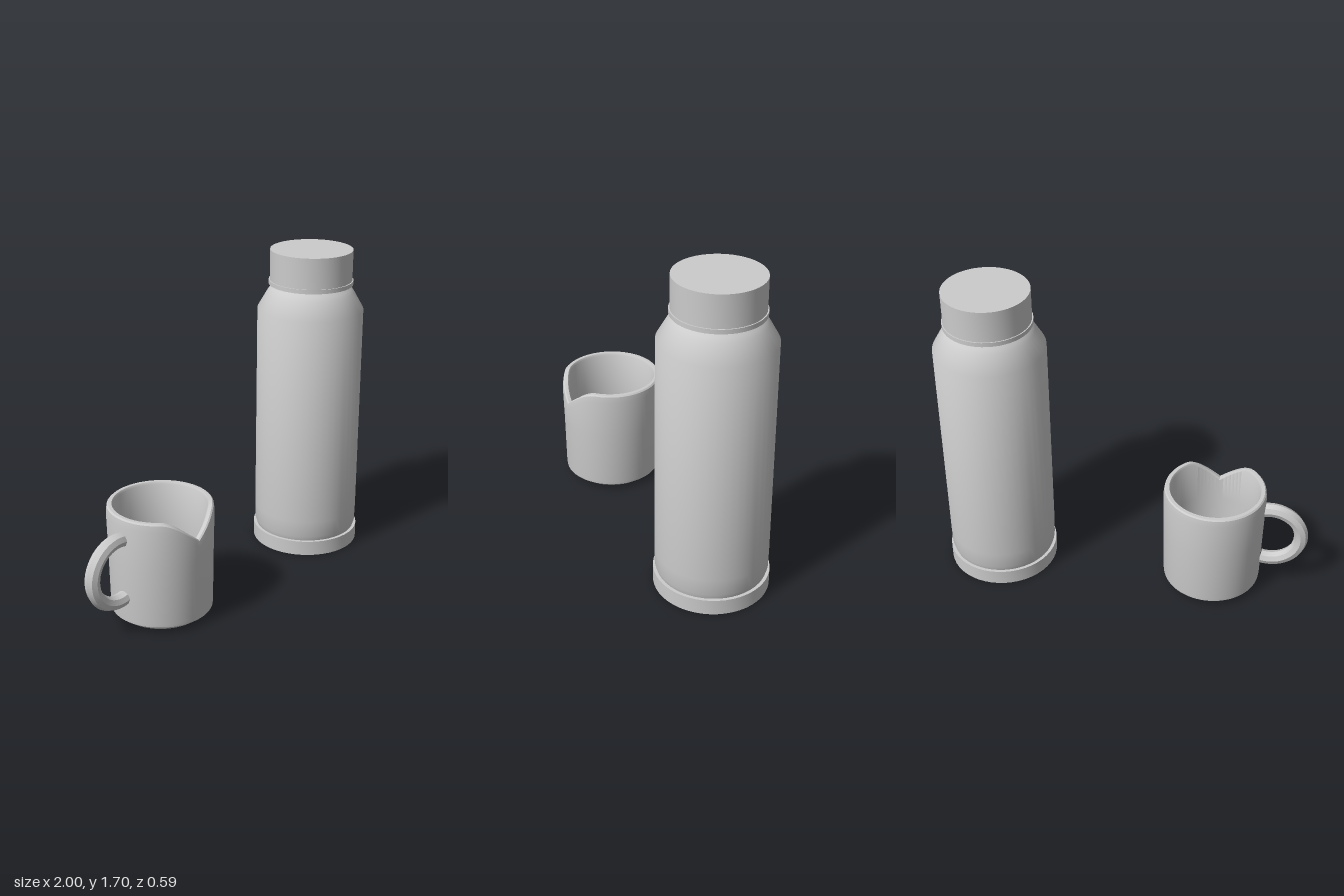
import * as THREE from 'three';
import { toCreasedNormals } from 'three/addons/utils/BufferGeometryUtils.js';

const material = new THREE.MeshStandardMaterial({ color: 0xcccccc });

function addMesh(parent, name, geometry, crease = 0.6) {
  const mesh = new THREE.Mesh(toCreasedNormals(geometry, crease), material);
  mesh.name = name;
  parent.add(mesh);
  return mesh;
}

// Turned solid from [radius, height] pairs
function turned(profile, segments = 48) {
  return new THREE.LatheGeometry(profile.map(([r, y]) => new THREE.Vector2(r, y)), segments);
}

// Depth of the V-shaped pouring spout at a sideways distance from its centre
function spoutDepth(dx) {
  const steps = [[0, 0.125], [0.13, 0.027], [0.16, 0.01], [0.185, 0]];
  for (let i = 1; i < steps.length; i++) {
    const [x0, d0] = steps[i - 1], [x1, d1] = steps[i];
    if (dx <= x1) return d0 + (d1 - d0) * (dx - x0) / (x1 - x0);
  }
  return 0;
}

function createBottle() {
  const bottle = new THREE.Group();
  bottle.name = 'bottle';
  addMesh(bottle, 'base', turned([[0, 0], [0.297, 0], [0.297, 0.083], [0, 0.083]]));
  addMesh(bottle, 'body', turned([
    [0, 0.08], [0.28, 0.083], [0.288, 0.11], [0.29, 0.2], [0.29, 1.37],
    [0.236, 1.465], [0.222, 1.485], [0.197, 1.508], [0, 1.508],
  ]));
  addMesh(bottle, 'collar', turned([[0, 1.507], [0.23, 1.507], [0.23, 1.53], [0, 1.53]]));
  addMesh(bottle, 'cap', turned([[0, 1.528], [0.224, 1.528], [0.224, 1.697], [0, 1.697]]));
  return bottle;
}

function createMug() {
  const mug = new THREE.Group();
  mug.name = 'mug';

  // Hollow cup, with the upper walls pushed down to form the spout
  const cup = turned([
    [0, 0], [0.22, 0.002], [0.263, 0.035], [0.265, 0.05], [0.27, 0.35], [0.275, 0.57],
    [0.27, 0.605], [0.263, 0.612], [0.245, 0.612], [0.238, 0.6],
    [0.236, 0.35], [0.232, 0.05], [0, 0.045],
  ], 72);
  const p = cup.attributes.position;
  for (let i = 0; i < p.count; i++) {
    const x = p.getX(i), y = p.getY(i), z = p.getZ(i);
    if (y < 0.4 || z < 0) continue;
    const dx = 0.275 * Math.abs(x) / Math.hypot(x, z);
    p.setY(i, y - spoutDepth(dx) * Math.min(1, (y - 0.35) / 0.22));
  }
  addMesh(mug, 'cup', cup);

  // Eight-sided ring handle whose ends sink into the wall
  const overlap = 0.28;
  const ring = new THREE.TorusGeometry(0.168, 0.038, 8, 28, Math.PI + 2 * overlap);
  ring.rotateZ(Math.PI / 2 - overlap);
  addMesh(mug, 'handle', ring).position.set(-0.307, 0.336, 0);
  return mug;
}

export function createModel() {
  const model = new THREE.Group();
  model.name = 'bottleAndMug';
  const bottle = createBottle();
  bottle.position.x = 0.7;
  const mug = createMug();
  mug.position.x = -0.487;
  model.add(bottle, mug);
  return model;
}
